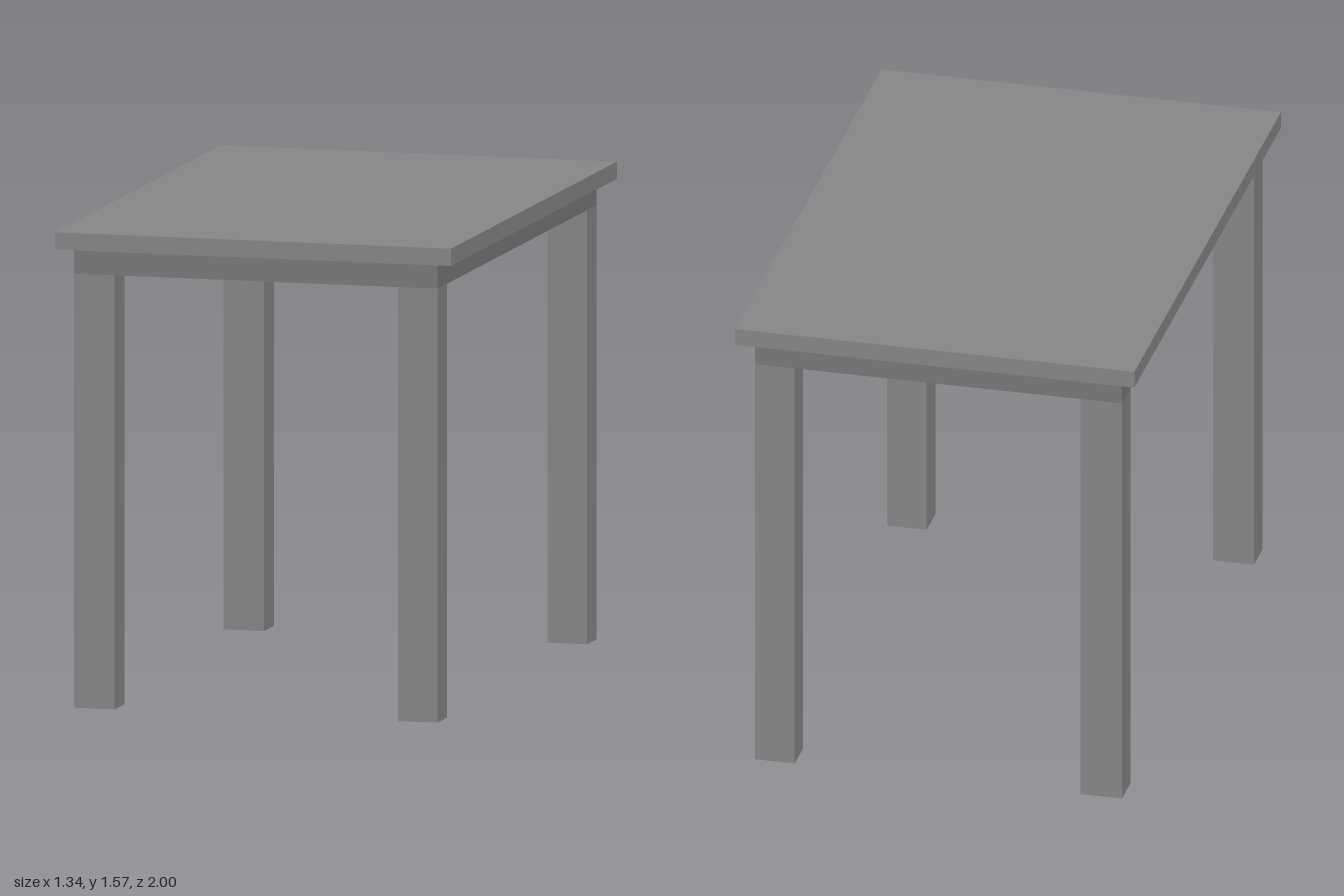
import * as THREE from 'three';

export function createModel() {
  const table = new THREE.Group();
  table.name = 'table';
  const material = new THREE.MeshStandardMaterial({ color: 0x868686 });
  const apronMaterial = new THREE.MeshStandardMaterial({ color: 0x787878 });

  // Box given by its lower and upper corners
  function addBox(name, [x0, y0, z0], [x1, y1, z1]) {
    const mesh = new THREE.Mesh(new THREE.BoxGeometry(x1 - x0, y1 - y0, z1 - z0), material);
    mesh.position.set((x0 + x1) / 2, (y0 + y1) / 2, (z0 + z1) / 2);
    mesh.name = name;
    table.add(mesh);
  }

  const frame = { left: -0.618, right: 0.613, front: 0.959, inX: 0.48, inZ: 0.842 };
  const legTop = 1.43, panelBottom = 1.475, frameTop = 1.513, top = 1.57;

  addBox('tabletop', [-0.67, frameTop, -1], [0.67, top, 1]);

  // Panel set into the apron, lowering the underside of the top
  addBox('underPanel', [-frame.inX, panelBottom, -frame.inZ], [frame.inX, frameTop, frame.inZ]);

  // Apron: a rectangular ring whose inner faces are flush with the legs
  const outline = new THREE.Shape([
    new THREE.Vector2(frame.left, -frame.front), new THREE.Vector2(frame.right, -frame.front),
    new THREE.Vector2(frame.right, frame.front), new THREE.Vector2(frame.left, frame.front),
  ]);
  outline.holes.push(new THREE.Path([
    new THREE.Vector2(-frame.inX, -frame.inZ), new THREE.Vector2(-frame.inX, frame.inZ),
    new THREE.Vector2(frame.inX, frame.inZ), new THREE.Vector2(frame.inX, -frame.inZ),
  ]));
  const apron = new THREE.Mesh(
    new THREE.ExtrudeGeometry(outline, { depth: frameTop - legTop, bevelEnabled: false }), apronMaterial);
  apron.rotation.x = -Math.PI / 2;
  apron.position.y = legTop;
  apron.name = 'apron';
  table.add(apron);

  // Four square-cut legs
  for (const [endName, z0, z1] of [['front', frame.inZ, frame.front], ['back', -frame.front, -frame.inZ]]) {
    addBox(endName + 'LeftLeg', [frame.inX, 0, z0], [frame.right, legTop, z1]);
    addBox(endName + 'RightLeg', [frame.left, 0, z0], [-frame.inX, legTop, z1]);
  }

  return table;
}
